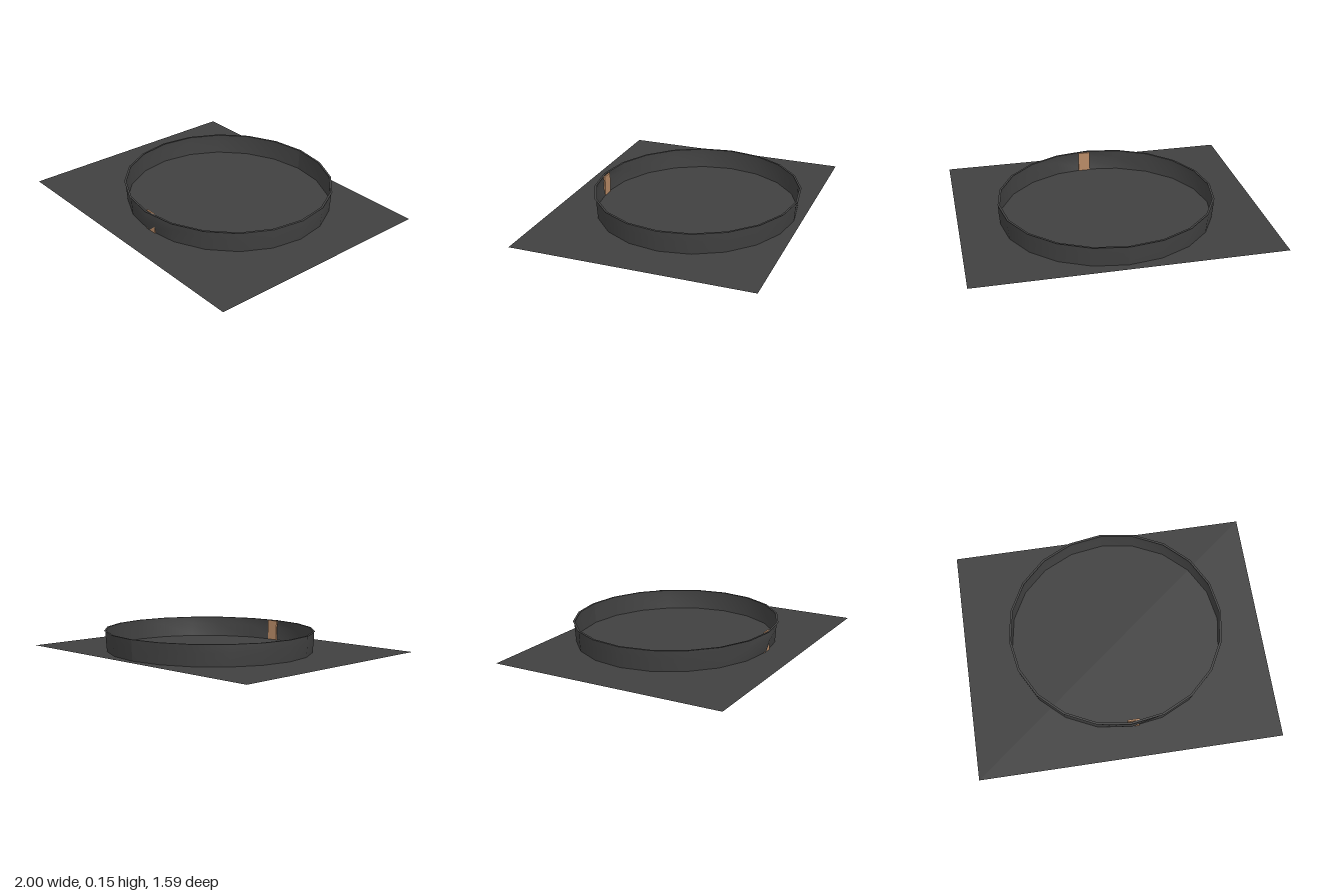
import * as THREE from 'three';

export function createModel() {
  const model = new THREE.Group();
  const dark = new THREE.MeshStandardMaterial({ color: 0x404040, side: THREE.DoubleSide });
  dark.name = 'charcoal';
  const brown = new THREE.MeshStandardMaterial({ color: 0xb88a66 });
  brown.name = 'tan';

  const add = (name, geometry, material, x, y, z) => {
    const mesh = new THREE.Mesh(geometry, material);
    mesh.name = name;
    mesh.position.set(x, y, z);
    model.add(mesh);
    return mesh;
  };

  // Ground sheet: charcoal on top, tan underneath
  add('groundTop', new THREE.PlaneGeometry(2, 1.585).rotateX(-Math.PI / 2), dark, 0, 0.014, 0);
  add('groundUnderside', new THREE.PlaneGeometry(2, 1.585).rotateX(Math.PI / 2), brown, 0, 0.011, 0);

  // Low wall: a 20-sided open ring, slightly narrower at the foot
  const sides = 20, cx = 0.02, cz = -0.078;
  const wall = new THREE.CylinderGeometry(1, 1, 1, sides, 2, true, Math.PI);
  const p = wall.attributes.position;
  for (let i = 0; i < p.count; i++) {
    const x = p.getX(i), z = p.getZ(i), level = Math.round(p.getY(i) * 2) + 1;
    const y = [0.013, 0.1, 0.152][level];
    const rx = [0.706, 0.714, 0.714][level];
    const rz = [0.664, 0.67, 0.671][level];
    // The front corner bulges outward at mid height
    const bulge = z > 0.99 && level === 1 ? 0.018 : 0;
    p.setXYZ(i, x * rx, y, z * rz + bulge);
  }
  wall.computeVertexNormals();
  add('ringWall', wall, dark, cx, 0, cz);

  // Thin flat lip on top of the wall
  const lip = new THREE.RingGeometry(0.979, 1, sides).rotateX(-Math.PI / 2).scale(0.717, 1, 0.685);
  add('ringLip', lip, dark, cx, 0.152, cz);

  // Small upright gate plate at the front
  add('gatePlate', new THREE.BoxGeometry(0.08, 0.15, 0.011), brown, 0.04, 0.075, 0.5795);

  return model;
}
